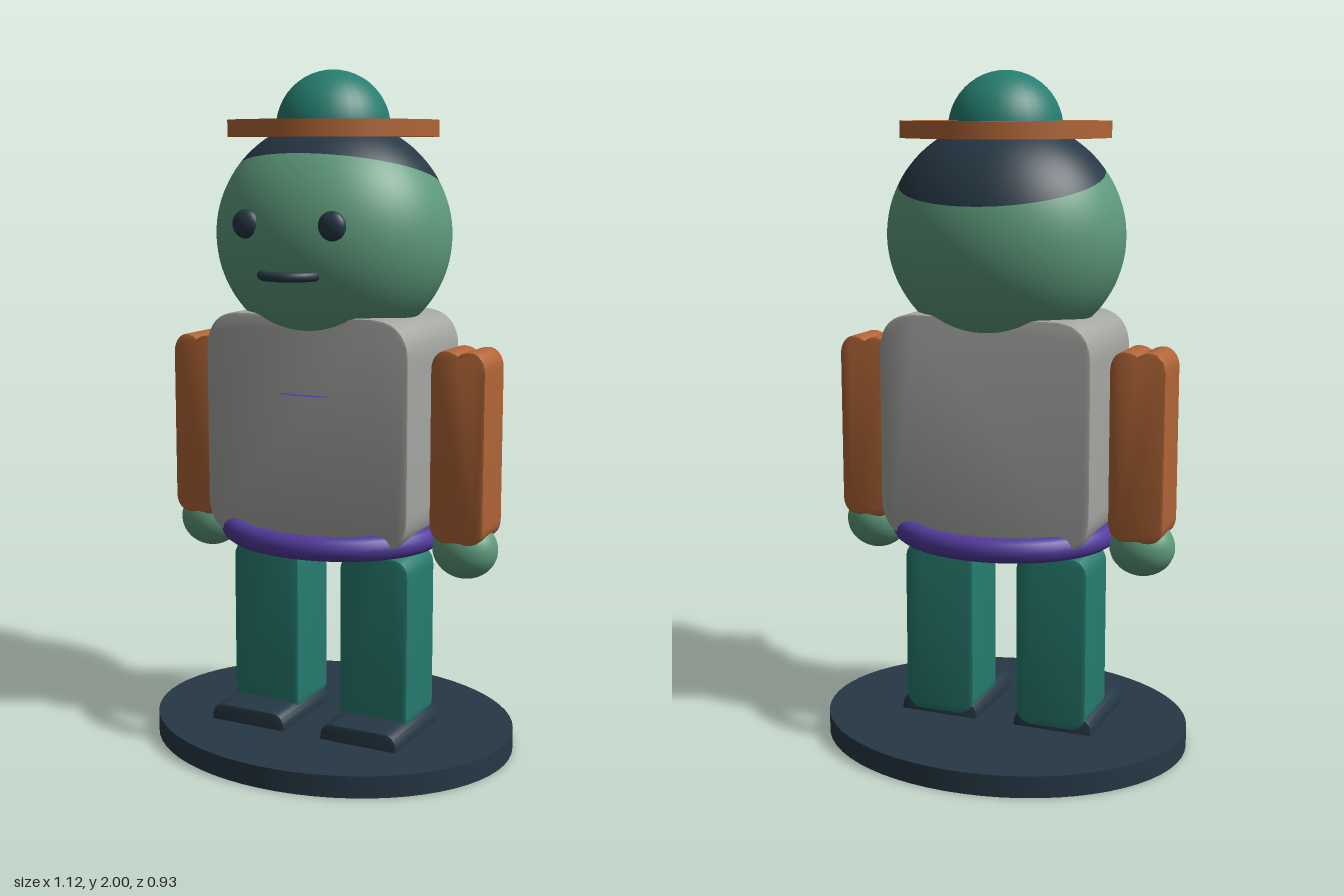
import * as THREE from 'three';
import { toCreasedNormals } from 'three/addons/utils/BufferGeometryUtils.js';

const material = (name, color, side = THREE.FrontSide) => {
  const m = new THREE.MeshStandardMaterial({ color, side });
  m.name = name;
  return m;
};

// Upright block with rounded corners seen from the front and a fine bevel front and back
function roundedBlock(x0, x1, y0, y1, z0, z1, r, notch = 0) {
  const b = 0.006;
  const [l, t, w, h] = [x0 + b, y1 - b, x1 - b, y0 + b];
  const s = new THREE.Shape();
  s.moveTo(l + r, h);
  s.lineTo(w - r, h);
  s.quadraticCurveTo(w, h, w, h + r);
  s.lineTo(w, t - r);
  if (notch) {
    // two shoulder humps meeting in a shallow groove
    const c = (l + w) / 2, q = (w - l) / 4;
    s.bezierCurveTo(w, t - r * 0.4, w - q * 0.5, t, w - q, t);
    s.quadraticCurveTo(c + q * 0.4, t, c, t - notch);
    s.quadraticCurveTo(c - q * 0.4, t, l + q, t);
    s.bezierCurveTo(l + q * 0.5, t, l, t - r * 0.4, l, t - r);
  } else {
    s.quadraticCurveTo(w, t, w - r, t);
    s.lineTo(l + r, t);
    s.quadraticCurveTo(l, t, l, t - r);
  }
  s.lineTo(l, h + r);
  s.quadraticCurveTo(l, h, l + r, h);
  const g = new THREE.ExtrudeGeometry(s, {
    depth: z1 - z0 - 2 * b, bevelThickness: b, bevelSize: b, bevelSegments: 2, curveSegments: 10,
  });
  g.translate(0, 0, z0 + b);
  return toCreasedNormals(g, 0.5);
}

export function createModel() {
  const model = new THREE.Group();
  model.name = 'figurine';
  const navy = material('navy', 0x263845);
  const skin = material('green skin', 0x5e9b7c);
  const teal = material('teal', 0x267d70);
  const orange = material('orange', 0xb16536);
  const grey = material('grey', 0xa5a7a3);
  const purple = material('purple', 0x523b9d);
  const purpleSheet = material('purple sheet', 0x523b9d, THREE.DoubleSide);

  const add = (name, geometry, mat, x = 0, y = 0, z = 0) => {
    const m = new THREE.Mesh(geometry, mat);
    m.name = name;
    m.position.set(x, y, z);
    model.add(m);
    return m;
  };
  const ball = (rx, ry, rz) => new THREE.SphereGeometry(1, 32, 20).scale(rx, ry, rz);

  // Oval stand
  add('base', new THREE.CylinderGeometry(1, 1, 0.065, 64).scale(0.56, 1, 0.465), navy, 0, 0.0325);

  // Torso and belt
  add('torso', roundedBlock(-0.325, 0.325, 0.64, 1.31, -0.183, 0.183, 0.11), grey);
  const belt = new THREE.TorusGeometry(0.31, 0.036, 16, 64).rotateX(Math.PI / 2).scale(1, 1, 0.878);
  add('belt', belt, purple, 0, 0.658);

  // Thin flat tab on the chest
  const tab = new THREE.CircleGeometry(1, 24, Math.PI, Math.PI).rotateX(-Math.PI / 2).scale(0.085, 1, 0.03);
  add('chestTab', tab, purpleSheet, 0, 1.083, 0.183);

  // Limbs, mirrored
  for (const [side, sx] of [['left', 1], ['right', -1]]) {
    const span = (a, b) => (sx > 0 ? [a, b] : [-b, -a]);
    add(side + 'Leg', roundedBlock(...span(0.07, 0.29), 0.075, 0.605, -0.096, 0.096, 0.05), teal);
    add(side + 'Shoe', roundedBlock(...span(0.06, 0.308), 0.02, 0.116, -0.092, 0.207, 0.04), navy);
    add(side + 'Arm', roundedBlock(...span(0.345, 0.51), 0.665, 1.22, -0.074, 0.074, 0.05, 0.014), orange);
    add(side + 'Hand', ball(0.0975, 0.087, 0.08), skin, sx * 0.428, 0.638);
    add(side + 'Eye', ball(0.042, 0.041, 0.023), navy, sx * 0.135, 1.57, 0.272);
  }

  // Egg-shaped head, divided along a tilted plane into face and hair
  const hairline = 1.032;
  const headPart = (start, length) => new THREE.SphereGeometry(1, 64, 32, 0, Math.PI * 2, start, length)
    .rotateX(-0.24).scale(0.355, 0.335, 0.295);
  add('head', headPart(hairline, Math.PI - hairline), skin, 0, 1.53);
  add('hair', headPart(0, hairline), navy, 0, 1.53);

  // Mouth arc lying flat and bulging forward
  const mouth = new THREE.TorusGeometry(0.083, 0.014, 10, 24, Math.PI).rotateX(Math.PI / 2);
  add('mouth', mouth, navy, 0, 1.431, 0.253);

  // Hat
  add('hatBrim', new THREE.CylinderGeometry(0.305, 0.305, 0.048, 64), orange, 0, 1.834);
  add('hatCrown', new THREE.SphereGeometry(0.166, 32, 12, 0, Math.PI * 2, 0, Math.PI / 2), teal, 0, 1.834);

  return model;
}
